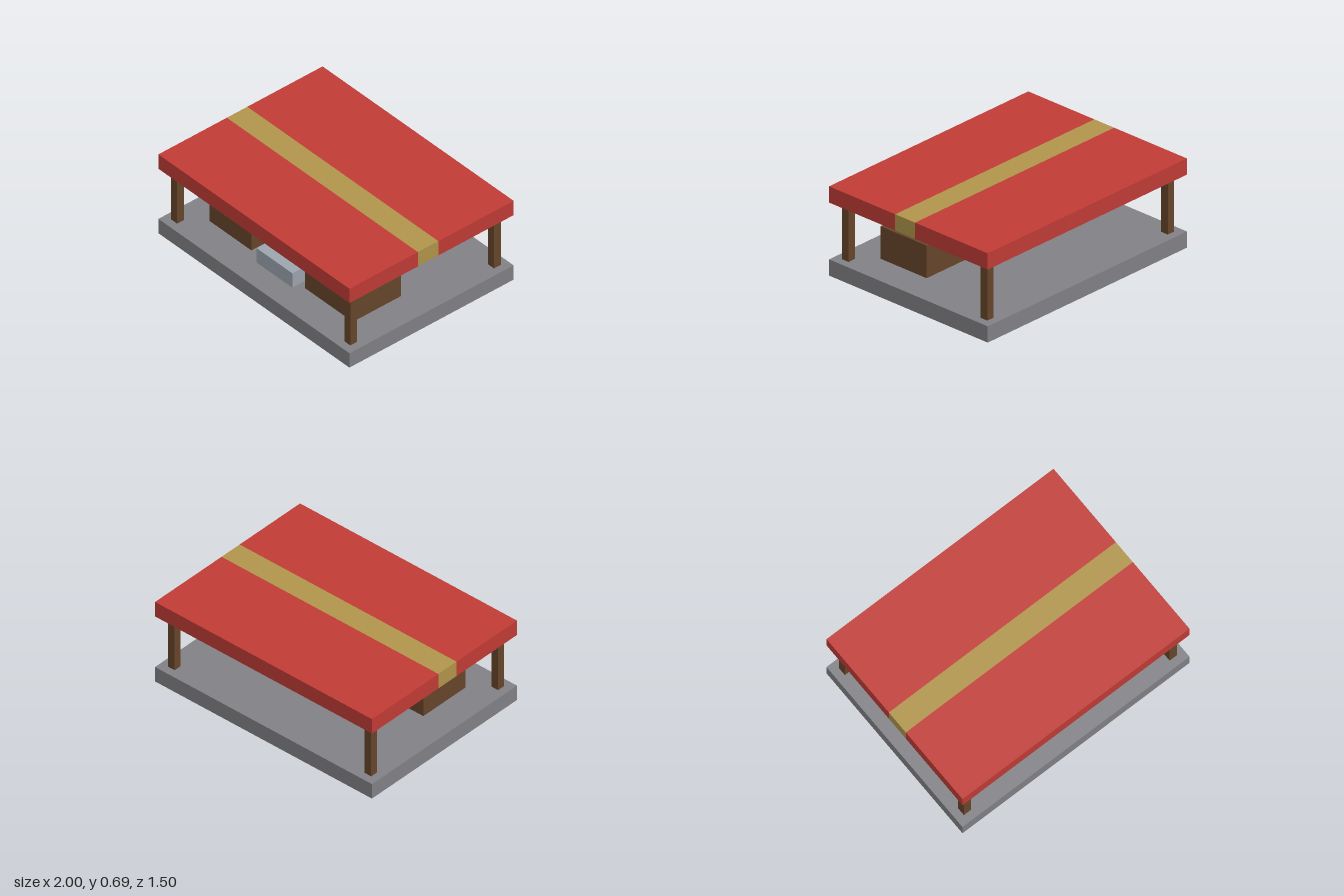
import * as THREE from 'three';

function material(name, color) {
  const m = new THREE.MeshStandardMaterial({ color });
  m.name = name;
  return m;
}

export function createModel() {
  const stone = material('stone grey', 0x818186);
  const wood = material('brown wood', 0x66452b);
  const metal = material('pale metal', 0x9ca4ae);
  const red = material('red canopy', 0xc03b35);
  const gold = material('gold stripe', 0xb0944a);

  const group = new THREE.Group();
  group.name = 'marketStall';

  // Box given by its lower and upper corners
  function block(name, mat, [x0, y0, z0], [x1, y1, z1]) {
    const mesh = new THREE.Mesh(new THREE.BoxGeometry(x1 - x0, y1 - y0, z1 - z0), mat);
    mesh.position.set((x0 + x1) / 2, (y0 + y1) / 2, (z0 + z1) / 2);
    mesh.name = name;
    group.add(mesh);
  }

  const floor = 0.125, eave = 0.5625, top = 0.6875;

  // Floor slab
  block('floorSlab', stone, [-1, 0, -0.75], [1, floor, 0.75]);

  // Four corner posts
  const px = 0.90625, pz = 0.65625, r = 0.03125;
  for (const sx of [-1, 1]) {
    for (const sz of [-1, 1]) {
      const name = (sz > 0 ? 'front' : 'back') + (sx > 0 ? 'Left' : 'Right') + 'Post';
      block(name, wood, [sx * px - r, floor, sz * pz - r], [sx * px + r, eave, sz * pz + r]);
    }
  }

  // Goods on the floor
  block('smallCrate', wood, [-0.75, floor, 0.0625], [-0.3125, 0.3125, 0.5]);
  block('largeCrate', wood, [0.25, floor, 0.0625], [0.75, 0.375, 0.5]);
  block('metalBlock', metal, [-0.1875, floor, 0.1875], [0.1875, 0.25, 0.5625]);

  // Flat canopy with a stripe running through it
  block('canopyBack', red, [-1, eave, -0.75], [1, top, -0.0625]);
  block('canopyStripe', gold, [-1, eave, -0.0625], [1, top, 0.125]);
  block('canopyFront', red, [-1, eave, 0.125], [1, top, 0.75]);

  return group;
}
